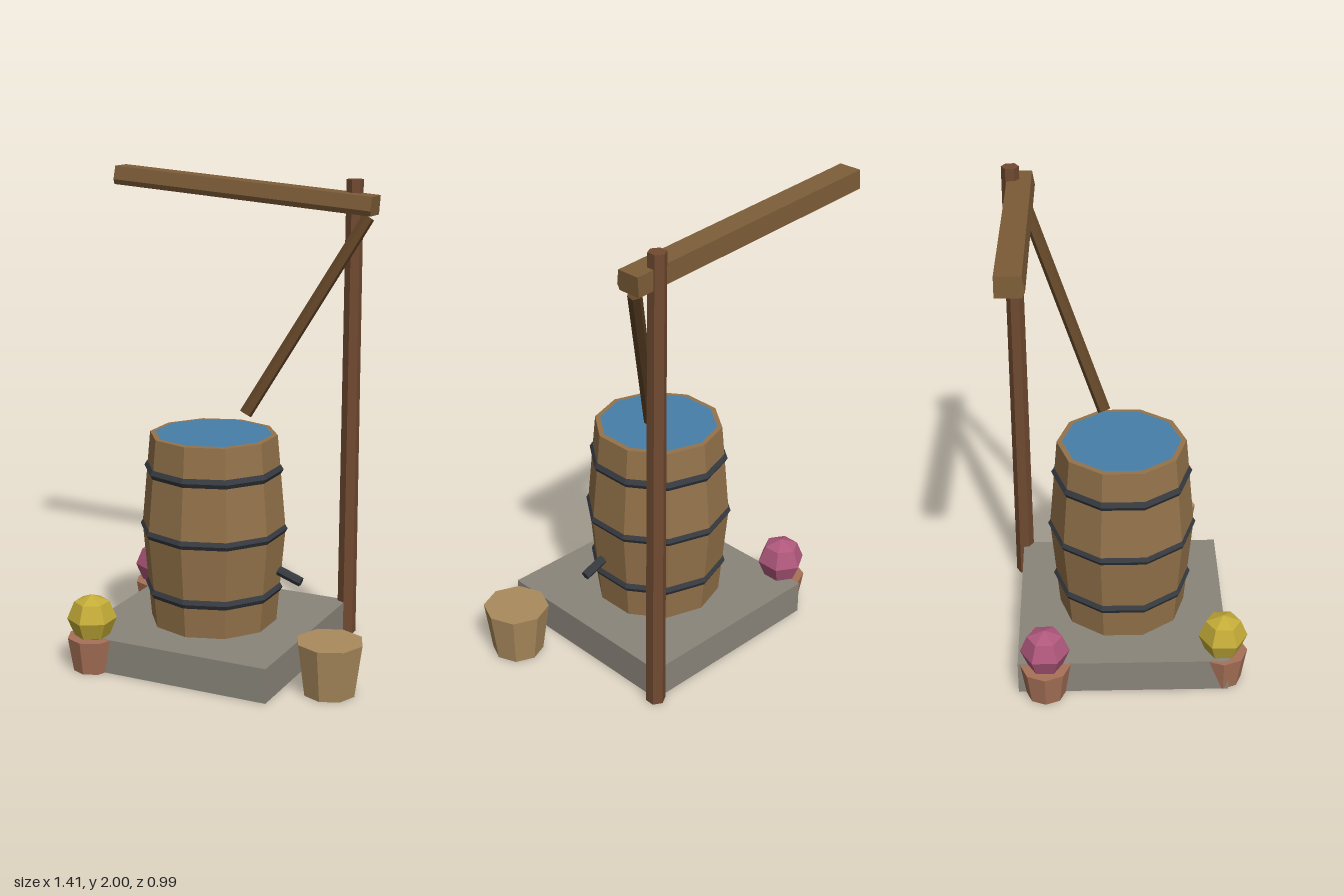
import * as THREE from 'three';

const mat = (color) => new THREE.MeshStandardMaterial({ color, flatShading: true });
const M = {
  stone: mat(0x8a857a), barrel: mat(0x94734a), iron: mat(0x363a40), water: mat(0x467ea8),
  post: mat(0x704a30), beam: mat(0x7d5d38), strut: mat(0x604426), stump: mat(0xaa8a5c),
  clay: mat(0xa87258), yellow: mat(0xc4ac38), pink: mat(0xb0587c),
};

export function createModel() {
  const root = new THREE.Group();

  const add = (name, geo, material, x, y, z, parent = root) => {
    const mesh = new THREE.Mesh(geo, material);
    mesh.name = name;
    mesh.position.set(x, y, z);
    parent.add(mesh);
    return mesh;
  };

  // Cylinder running from point a to point b
  const rod = (name, a, b, radius, material) => {
    const from = new THREE.Vector3(...a), dir = new THREE.Vector3(...b).sub(from);
    const mesh = add(name, new THREE.CylinderGeometry(radius, radius, dir.length(), 6), material, 0, 0, 0);
    mesh.position.copy(from).addScaledVector(dir, 0.5);
    mesh.quaternion.setFromUnitVectors(new THREE.Vector3(0, 1, 0), dir.normalize());
    return mesh;
  };

  // Stone slab
  add('baseSlab', new THREE.BoxGeometry(0.872, 0.145, 0.872), M.stone, -0.053, 0.0725, -0.023);

  // Barrel: ten staves bulging at the middle, closed at both ends
  const barrel = new THREE.Group();
  barrel.name = 'barrel';
  barrel.position.set(-0.053, 0, -0.02);
  root.add(barrel);
  const profile = [[0, 0.145], [0.267, 0.145], [0.303, 0.55], [0.267, 0.95], [0, 0.95]];
  add('staves', new THREE.LatheGeometry(profile.map((p) => new THREE.Vector2(...p)), 10), M.barrel, 0, 0, 0, barrel);

  // Iron hoops with a six-sided section, lined up with the staves
  for (const [y, radius] of [[0.293, 0.271], [0.55, 0.29], [0.805, 0.271]]) {
    const section = [];
    for (let i = 0; i <= 6; i++) {
      const a = (i * Math.PI) / 3;
      section.push(new THREE.Vector2(radius + 0.0215 * Math.cos(a), 0.0215 * Math.sin(a)));
    }
    add('hoop', new THREE.LatheGeometry(section, 10), M.iron, 0, y, 0, barrel);
  }

  // Water surface at the rim
  const water = add('water', new THREE.CircleGeometry(0.245, 10, Math.PI / 2), M.water, 0, 0.952, 0, barrel);
  water.rotation.x = -Math.PI / 2;

  // Spout on the side of the barrel
  rod('spout', [0.253, 0.402, -0.004], [0.354, 0.366, -0.004], 0.02, M.iron);

  // Upright post, sloping beam and diagonal strut
  add('post', new THREE.CylinderGeometry(0.036, 0.041, 1.975, 6), M.post, 0.383, 0.9875, -0.456);

  const section = new THREE.Shape([
    [-0.054, -0.04], [0.043, -0.04], [0.054, -0.018], [0.044, 0.04], [-0.054, 0.04],
  ].map((p) => new THREE.Vector2(...p)));
  const beamGeo = new THREE.ExtrudeGeometry(section, { depth: 1.195, bevelEnabled: false });
  beamGeo.translate(0, 0, -0.5975).rotateY(-Math.PI / 2);
  const beam = add('beam', beamGeo, M.beam, -0.108, 1.917, -0.416);
  beam.rotation.z = -0.0735;

  rod('strut', [0.06, 1.028, -0.09], [0.458, 1.825, -0.42], 0.027, M.strut);

  // Wooden tub beside the slab
  add('tub', new THREE.CylinderGeometry(0.137, 0.107, 0.218, 8), M.stump, 0.566, 0.109, 0.198);

  // Flower pots with round blooms
  for (const [x, z, bloom] of [[-0.41, 0.39, M.yellow], [-0.492, -0.345, M.pink]]) {
    const plant = new THREE.Group();
    plant.name = 'flowerPot';
    plant.position.set(x, 0, z);
    root.add(plant);
    add('pot', new THREE.CylinderGeometry(0.104, 0.081, 0.143, 8), M.clay, 0, 0.0715, 0, plant);
    const flower = add('bloom', new THREE.SphereGeometry(0.102, 6, 4), bloom, 0, 0.22, 0, plant);
    flower.rotation.y = Math.PI / 6;
  }

  return root;
}
